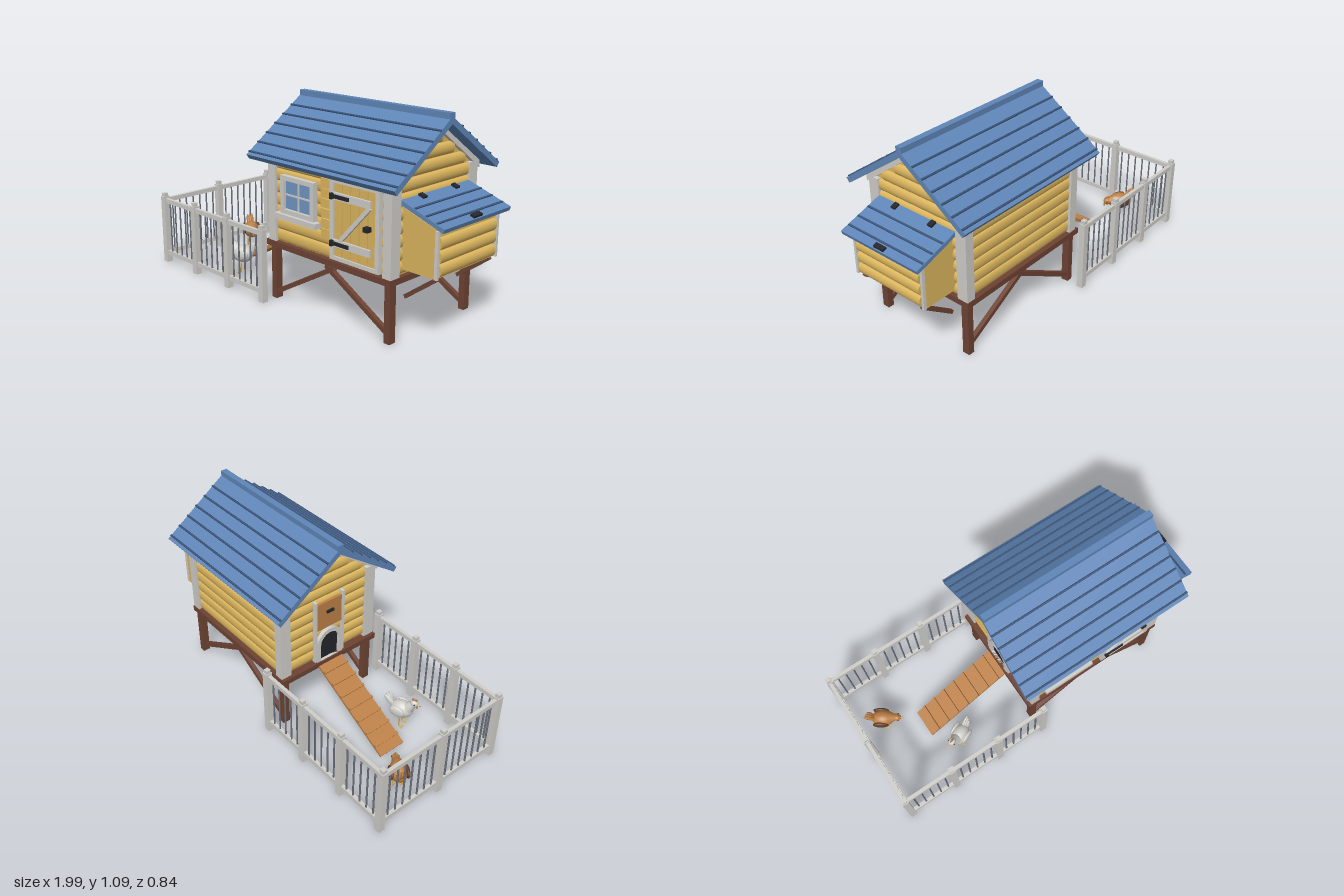
import * as THREE from 'three';

const mat = (name, color) => Object.assign(new THREE.MeshStandardMaterial({ color }), { name });

export function createModel() {
  const M = {
    yellow: mat('yellow siding', 0xdcb65e), blue: mat('blue roof', 0x5f86b8),
    white: mat('white trim', 0xd0cec9), brown: mat('brown frame', 0x6e4334),
    tan: mat('tan wood', 0xbb7f45), black: mat('black iron', 0x24262b),
    wire: mat('grey bars', 0x6d727c), navy: mat('navy battens', 0x3b5478),
    glass: mat('window glass', 0x7195c4), umber: mat('dark feathers', 0x64402a),
  };
  const root = new THREE.Group();
  root.name = 'chickenCoop';
  const group = (name, parent = root) => {
    const g = new THREE.Group();
    g.name = name;
    parent.add(g);
    return g;
  };
  const add = (parent, name, geo, m, x = 0, y = 0, z = 0) => {
    const mesh = new THREE.Mesh(geo, m);
    mesh.name = name;
    mesh.position.set(x, y, z);
    parent.add(mesh);
    return mesh;
  };
  const box = (parent, name, m, w, h, d, x, y, z) =>
    add(parent, name, new THREE.BoxGeometry(w, h, d), m, x, y, z);
  // square bar from p to q
  const beam = (parent, name, m, p, q, w, h) => {
    const a = new THREE.Vector3(...p), b = new THREE.Vector3(...q);
    const mesh = box(parent, name, m, w, h, a.distanceTo(b), 0, 0, 0);
    mesh.position.copy(a).add(b).multiplyScalar(0.5);
    mesh.lookAt(b);
    return mesh;
  };
  const extrude = (pts, depth) => new THREE.ExtrudeGeometry(
    new THREE.Shape(pts.map(p => new THREE.Vector2(...p))), { depth, bevelEnabled: false });
  // rounded siding board, long in x and bulging to +z
  const board = (parent, len, h, bulge, x, y, z, ry = 0) => {
    const g = new THREE.CylinderGeometry(1, 1, len, 12, 1, false, -Math.PI / 2, Math.PI);
    g.rotateZ(Math.PI / 2).scale(1, h / 2, bulge);
    add(parent, 'sidingBoard', g, M.yellow, x, y, z).rotation.y = ry;
  };

  // floor, legs and braces
  const base = group('base');
  box(base, 'floor', M.brown, 0.88, 0.032, 0.66, 0.305, 0.316, 0);
  for (const s of [-1, 1]) {
    for (const x of [-0.092, 0.717]) box(base, 'leg', M.brown, 0.036, 0.3, 0.042, x, 0.15, s * 0.295);
    beam(base, 'legBrace', M.brown, [-0.075, 0.04, s * 0.295], [0.345, 0.28, s * 0.295], 0.025, 0.025);
    beam(base, 'legBrace', M.brown, [0.71, 0.04, s * 0.29], [0.285, 0.28, s * 0.29], 0.025, 0.025);
    beam(base, 'nestBrace', M.brown, [0.735, 0.22, s * 0.205], [0.925, 0.36, s * 0.205], 0.02, 0.02);
  }

  // walls with siding on all sides
  const house = group('house');
  const gable = extrude([[-0.3, 0.33], [0.3, 0.33], [0.3, 0.82], [0, 1.03], [-0.3, 0.82]], 0.81);
  add(house, 'walls', gable.rotateY(Math.PI / 2), M.yellow, -0.09);
  for (let i = 0; i < 7; i++) {
    for (const s of [-1, 1])
      board(house, 0.755, 0.064, 0.013, 0.3125, 0.366 + i * 0.066, s * 0.3, s > 0 ? 0 : Math.PI);
  }
  [0.53, 0.53, 0.53, 0.53, 0.53, 0.53, 0.53, 0.45, 0.27, 0.086].forEach((w, i) => {
    board(house, w, 0.063, 0.02, 0.72, 0.371 + i * 0.066, 0, Math.PI / 2);
    board(house, w, 0.063, 0.018, -0.09, 0.371 + i * 0.066, 0, -Math.PI / 2);
  });
  for (let i = 0; i < 6; i++) box(house, 'shortBoard', M.yellow, 0.07, 0.046, 0.02, 0.308, 0.46 + i * 0.052, 0.31);
  for (const x of [-0.09, 0.717]) for (const s of [-1, 1])
    box(house, 'cornerTrim', M.white, 0.052, 0.47, 0.065, x, 0.566, s * 0.2925);
  const vee = [[0, 1.045], [-0.34, 0.805], [-0.34, 0.765], [0, 1.012], [0.34, 0.765], [0.34, 0.805]];
  for (const x of [-0.116, 0.718])
    add(house, 'gableTrim', extrude(vee, 0.026).rotateY(Math.PI / 2), M.white, x);

  // roof slopes with battens
  const roof = group('roof');
  roof.position.x = 0.31;
  const pitch = Math.atan(0.705);
  for (const ry of [0, Math.PI]) {
    const side = group('roofSide', roof);
    side.rotation.y = ry;
    const slope = group('slope', side);
    slope.position.set(0, 1.077, 0);
    slope.rotation.x = pitch;
    box(slope, 'roofPanel', M.blue, 1.02, 0.03, 0.49, 0, -0.015, 0.245);
    for (let i = 0; i < 6; i++)
      add(slope, 'batten', new THREE.CylinderGeometry(0.006, 0.006, 1.02, 8).rotateZ(Math.PI / 2),
        M.navy, 0, 0.001, 0.1 + i * 0.073);
  }
  box(roof, 'ridgeCap', M.blue, 1.02, 0.045, 0.036, 0, 1.072, 0);

  // nest box with sloping lid
  const nest = group('nestBox');
  add(nest, 'nestWalls', extrude([[0.72, 0.365], [0.93, 0.365], [0.93, 0.605], [0.72, 0.675]], 0.47),
    M.yellow, 0, 0, -0.235);
  for (let i = 0; i < 3; i++) board(nest, 0.43, 0.062, 0.02, 0.93, 0.402 + i * 0.066, 0, Math.PI / 2);
  for (const s of [-1, 1]) box(nest, 'nestTrim', M.white, 0.018, 0.235, 0.014, 0.936, 0.4825, s * 0.232);
  const lid = group('nestLid', nest);
  lid.position.set(0.863, 0.658, 0);
  lid.rotation.z = -0.325;
  box(lid, 'lidPanel', M.blue, 0.268, 0.022, 0.52, 0, 0, 0);
  for (const x of [-0.05, 0.02, 0.085]) box(lid, 'lidBatten', M.navy, 0.01, 0.01, 0.51, x, 0.011, 0);
  box(lid, 'lidHandle', M.black, 0.025, 0.014, 0.065, 0.115, 0.016, 0);
  for (const s of [-1, 1]) box(lid, 'lidHinge', M.black, 0.035, 0.012, 0.028, -0.115, 0.016, s * 0.125);

  // front window
  const win = group('window');
  box(win, 'glassPane', M.glass, 0.2, 0.16, 0.008, 0.115, 0.608, 0.318);
  for (const s of [-1, 1]) {
    box(win, 'windowSide', M.white, 0.026, 0.2, 0.034, 0.115 + s * 0.11, 0.608, 0.322);
    box(win, 'windowRail', M.white, 0.246, 0.024, 0.034, 0.115, 0.608 + s * 0.089, 0.322);
  }
  box(win, 'mullion', M.white, 0.009, 0.16, 0.014, 0.115, 0.608, 0.32);
  box(win, 'mullion', M.white, 0.2, 0.009, 0.014, 0.115, 0.608, 0.32);
  box(win, 'sill', M.white, 0.305, 0.03, 0.05, 0.112, 0.49, 0.33);

  // front door with straps and diagonal
  const door = group('door');
  box(door, 'doorBacking', M.black, 0.29, 0.39, 0.006, 0.513, 0.553, 0.314);
  for (let i = 0; i < 5; i++) box(door, 'doorPlank', M.yellow, 0.05, 0.385, 0.014, 0.401 + i * 0.056, 0.553, 0.32);
  for (const s of [-1, 1]) {
    box(door, 'doorJamb', M.white, 0.024, 0.415, 0.03, 0.513 + s * 0.15, 0.553, 0.321);
    box(door, 'doorRail', M.white, 0.3, 0.02, 0.03, 0.513, 0.553 + s * 0.1975, 0.321);
    const y = 0.555 + s * 0.12;
    box(door, 'crossBoard', M.white, 0.25, 0.036, 0.014, 0.495, y, 0.333);
    box(door, 'hingeStrap', M.black, 0.11, 0.018, 0.01, 0.43, y, 0.343);
    box(door, 'hingeKnuckle', M.black, 0.016, 0.03, 0.02, 0.374, y, 0.345);
  }
  beam(door, 'diagonal', M.white, [0.42, 0.45, 0.333], [0.615, 0.66, 0.333], 0.014, 0.022);
  box(door, 'latch', M.black, 0.03, 0.024, 0.03, 0.605, 0.555, 0.342);

  // arched hen door on the run side, with a sliding hatch above
  const entry = group('henDoor');
  const arch = (r, shape) => {
    shape.moveTo(-r, 0.332);
    shape.lineTo(r, 0.332);
    shape.lineTo(r, 0.44);
    shape.absarc(0, 0.44, r, 0, Math.PI, false);
    shape.lineTo(-r, 0.332);
    return shape;
  };
  const archGeo = (shape, depth) => new THREE.ExtrudeGeometry(shape, { depth, bevelEnabled: false, curveSegments: 16 })
    .rotateY(-Math.PI / 2);
  const frame = arch(0.088, new THREE.Shape());
  frame.holes.push(arch(0.063, new THREE.Path()));
  add(entry, 'archFrame', archGeo(frame, 0.03), M.white, -0.098);
  add(entry, 'opening', archGeo(arch(0.065, new THREE.Shape()), 0.009), M.black, -0.102);
  box(entry, 'hatch', M.tan, 0.016, 0.17, 0.165, -0.114, 0.628, 0);
  box(entry, 'hatchHandle', M.black, 0.012, 0.016, 0.045, -0.126, 0.65, 0);
  for (const s of [-1, 1]) box(entry, 'hatchTrack', M.white, 0.026, 0.4, 0.016, -0.112, 0.535, s * 0.094);

  // ramp with rungs
  const ramp = group('ramp');
  const foot = [-0.65, 0.018], rise = [-0.11, 0.315];
  beam(ramp, 'rampBoard', M.tan, [...foot, 0], [...rise, 0], 0.165, 0.014);
  const tilt = Math.atan2(rise[1] - foot[1], rise[0] - foot[0]);
  for (let i = 0; i < 7; i++) {
    const t = 0.1 + i * 0.13;
    box(ramp, 'rung', M.tan, 0.014, 0.014, 0.165, foot[0] + t * 0.54 - 0.005, foot[1] + t * 0.297 + 0.01, 0)
      .rotation.z = tilt;
  }

  // fenced run: posts, then rails and bars for each bay
  const run = group('run');
  const xs = [-0.982, -0.686, -0.388, -0.09];
  const post = (x, z) => {
    box(run, 'fencePost', M.white, 0.036, 0.41, 0.036, x, 0.205, z);
    box(run, 'postCap', M.white, 0.026, 0.022, 0.026, x, 0.42, z);
  };
  const bay = (x0, z0, x1, z1, n) => {
    for (const y of [0.06, 0.387]) beam(run, 'fenceRail', M.white, [x0, y, z0], [x1, y, z1], 0.02, 0.026);
    for (let i = 1; i <= n; i++) {
      const t = i / (n + 1);
      add(run, 'fenceBar', new THREE.CylinderGeometry(0.005, 0.005, 0.32, 6), M.wire,
        x0 + (x1 - x0) * t, 0.223, z0 + (z1 - z0) * t);
    }
  };
  for (const z of [-0.4, 0.4]) xs.forEach((x, i) => {
    post(x, z);
    if (i) bay(xs[i - 1], z, x, z, 5);
  });
  post(xs[0], 0);
  bay(xs[0], -0.4, xs[0], 0, 7);
  bay(xs[0], 0, xs[0], 0.4, 7);

  // hens, facing local +x
  const hen = (name, body, wing, hx, hy, x, z, turn) => {
    const h = group(name);
    h.position.set(x, 0, z);
    h.rotation.y = turn;
    const blob = (part, m, a, b, c, px, py, pz, rz = 0) =>
      (add(h, part, new THREE.SphereGeometry(1, 16, 12).scale(a, b, c), m, px, py, pz).rotation.z = rz);
    blob('body', body, 0.066, 0.052, 0.047, 0, 0.112, 0);
    const a = new THREE.Vector3(0.03, 0.125, 0), b = new THREE.Vector3(hx, hy, 0);
    const neck = add(h, 'neck', new THREE.CylinderGeometry(0.018, 0.036, a.distanceTo(b), 12), body);
    neck.position.copy(a).add(b).multiplyScalar(0.5);
    neck.quaternion.setFromUnitVectors(new THREE.Vector3(0, 1, 0), b.clone().sub(a).normalize());
    blob('head', body, 0.024, 0.022, 0.021, hx, hy, 0);
    blob('comb', M.tan, 0.016, 0.013, 0.005, hx, hy + 0.023, 0);
    blob('wattle', M.tan, 0.006, 0.011, 0.006, hx + 0.018, hy - 0.02, 0);
    add(h, 'beak', new THREE.ConeGeometry(0.008, 0.024, 8).rotateZ(-Math.PI / 2), M.yellow, hx + 0.03, hy - 0.003, 0);
    for (const d of [-0.3, 0, 0.3]) blob('tailFeather', body, 0.042, 0.016, 0.01, -0.07, 0.152, d * 0.04, -1.05 + d);
    for (const s of [-1, 1]) {
      blob('wing', wing, 0.046, 0.032, 0.013, -0.012, 0.117, s * 0.043, -0.2);
      blob('eye', M.black, 0.004, 0.004, 0.003, hx + 0.008, hy + 0.005, s * 0.02);
      add(h, 'leg', new THREE.CylinderGeometry(0.004, 0.004, 0.08, 6), M.yellow, 0, 0.042, s * 0.024);
      for (const t of [-0.5, 0, 0.5])
        box(h, 'toe', M.yellow, 0.03, 0.005, 0.005, 0.012, 0.0025, s * 0.024 + t * 0.014).rotation.y = -t;
    }
  };
  hen('whiteHen', M.white, M.white, 0.07, 0.18, -0.52, 0.19, Math.atan2(-0.07, -0.17));
  hen('brownHen', M.tan, M.umber, 0.08, 0.122, -0.838, -0.14, Math.atan2(-0.09, 0.14));

  return root;
}
